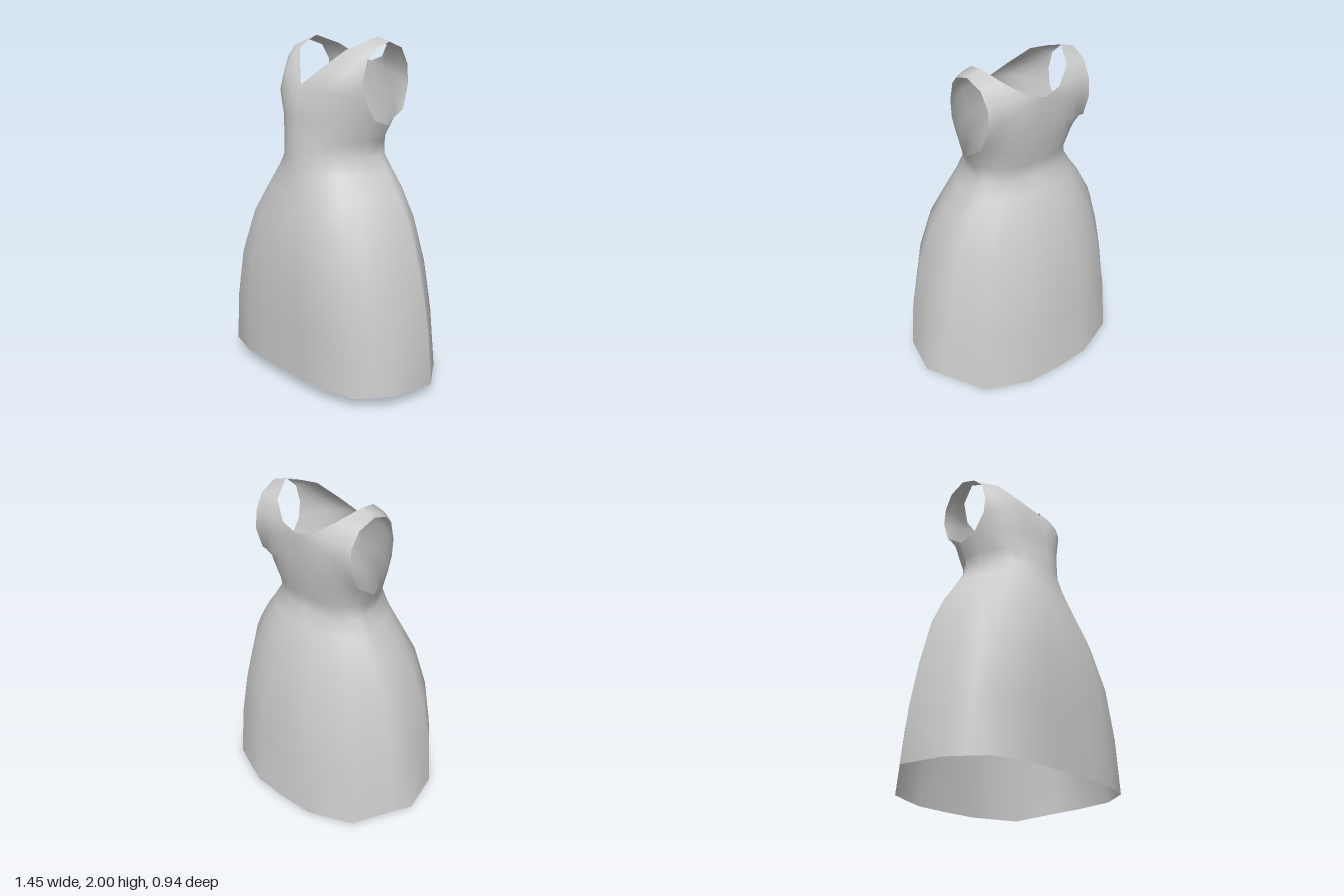
import * as THREE from 'three';
import { mergeVertices } from 'three/addons/utils/BufferGeometryUtils.js';

const ZC = -0.04; // depth of the side seams
const { lerp, clamp } = THREE.MathUtils;

// Half outline of the hem from centre front to centre back, in units of the ring's size
const HEM = [
  [0, 1], [0.24, 0.995], [0.48, 0.98], [0.76, 0.86], [0.85, 0.69], [0.94, 0.51], [1, 0],
  [0.89, -0.24], [0.78, -0.48], [0.68, -0.71], [0.49, -0.85], [0.3, -0.98], [0, -1],
];

// Rings of the skirt and waist: y, half width, front z, back z, share of the hem outline
const RINGS = [
  [0.068, 0.725, 0.47, -0.467, 1],
  [0.38, 0.69, 0.47, -0.435, 1],
  [0.68, 0.625, 0.468, -0.405, 0.9],
  [0.95, 0.54, 0.435, -0.345, 0.65],
  [1.13, 0.44, 0.39, -0.29, 0.35],
  [1.25, 0.355, 0.365, -0.235, 0.15],
  [1.34, 0.298, 0.355, -0.19, 0],
  [1.43, 0.315, 0.345, -0.2, 0],
  [1.55, 0.355, 0.325, -0.235, 0],
];

// Bodice rows: neckline point, armhole point, outward bulge between them
const SHOULDER = [[0.26, 2, -0.05], [0.345, 1.975, -0.05], 0];
const FRONT = [
  [[0, 1.74, 0.295], [0.338, 1.67, 0.13], 0.07],
  [[0.1, 1.84, 0.215], [0.335, 1.77, 0.14], 0.04],
  [[0.195, 1.93, 0.135], [0.335, 1.88, 0.11], 0.015],
  [[0.235, 1.97, 0.04], [0.345, 1.94, 0.05], 0.005],
  SHOULDER,
];
const BACK = [
  [[0, 1.72, -0.25], [0.35, 1.6, -0.165], -0.03],
  [[0, 1.85, -0.257], [0.335, 1.74, -0.22], -0.005],
  [[0.1, 1.88, -0.247], [0.33, 1.85, -0.215], 0],
  [[0.2, 1.95, -0.18], [0.335, 1.94, -0.16], 0],
  SHOULDER,
];

// Half ring: an ellipse blended towards the hem outline
function halfRing([y, w, front, back, share], level) {
  return HEM.map(([hx, hz], k) => {
    const t = (k / (HEM.length - 1)) * Math.PI;
    const round = k === HEM.length - 1 ? 0 : Math.sin(t);
    let x = w * lerp(round, hx, share);
    const depth = lerp(Math.cos(t), hz, share);
    const z = ZC + depth * (depth > 0 ? front - ZC : ZC - back);
    let py = y;
    // hem dips to the floor behind
    if (level === 0) py = y * (1 - clamp((-0.05 - z) / 0.29, 0, 1));
    // fold below the armhole
    if (level === 7 && (k === 7 || k === 8)) x *= 0.9;
    if (level === 8 && k === 6) py = 1.515;
    return [x, py, z];
  });
}

// Row across a bodice panel, from neckline to armhole
function panelRow([neck, arm, bulge]) {
  const row = [];
  for (let i = 0; i <= 5; i++) {
    const s = i / 5, b = bulge * Math.sin(Math.PI * s);
    row.push([
      lerp(neck[0], arm[0], s) + Math.abs(b) * 0.35,
      lerp(neck[1], arm[1], s),
      lerp(neck[2], arm[2], s) + b,
    ]);
  }
  return row;
}

// Join rows into a surface on both sides of the dress
function addSurface(out, rows) {
  const tri = (a, b, c) => {
    out.push(...a, ...b, ...c);
    for (const p of [a, c, b]) out.push(-p[0], p[1], p[2]);
  };
  for (let i = 0; i + 1 < rows.length; i++) {
    for (let j = 0; j + 1 < rows[i].length; j++) {
      const a = rows[i][j], b = rows[i][j + 1];
      const c = rows[i + 1][j + 1], d = rows[i + 1][j];
      tri(a, b, c);
      tri(a, c, d);
    }
  }
}

export function createModel() {
  const model = new THREE.Group();
  model.name = 'dress';
  const cloth = new THREE.MeshStandardMaterial({ color: 0xcccccc, side: THREE.DoubleSide });
  cloth.name = 'light grey cloth';

  const points = [];
  // skirt and waist
  const rings = RINGS.map(halfRing);
  addSurface(points, rings);
  // front and back of the bodice, leaving the armholes open
  const under = rings[rings.length - 1];
  addSurface(points, [under.slice(0, 6), ...FRONT.map(panelRow)]);
  addSurface(points, [under.slice(7), ...BACK.map((r) => panelRow(r).reverse())]);

  let geometry = new THREE.BufferGeometry();
  geometry.setAttribute('position', new THREE.Float32BufferAttribute(points, 3));
  geometry = mergeVertices(geometry, 1e-4);
  geometry.computeVertexNormals();

  const dress = new THREE.Mesh(geometry, cloth);
  dress.name = 'sleevelessDress';
  model.add(dress);
  return model;
}
